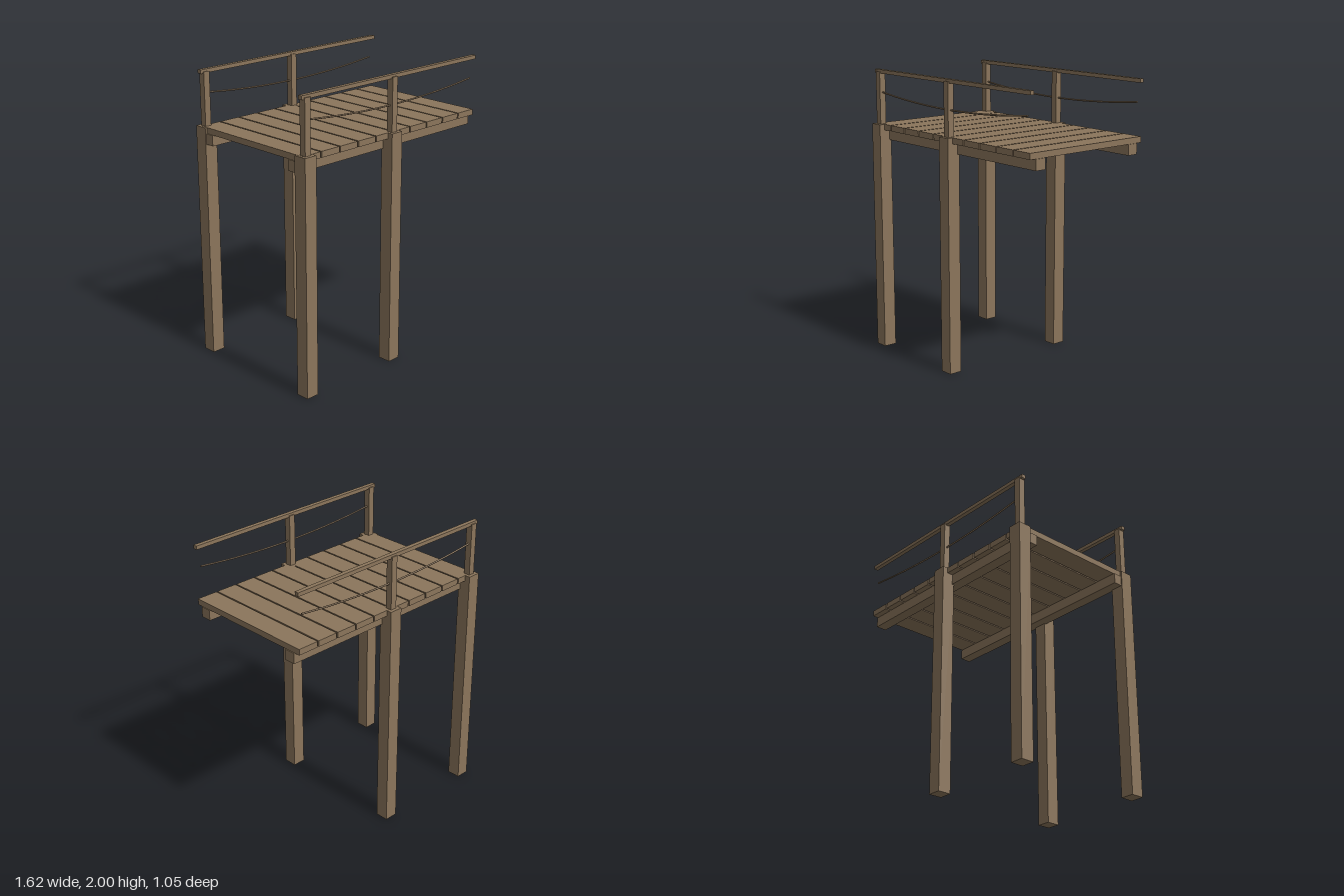
import * as THREE from 'three';

export function createModel() {
  const model = new THREE.Group();
  model.name = 'woodenWalkway';
  const wood = new THREE.MeshStandardMaterial({ color: 0x8b755b });
  wood.name = 'weathered wood';

  // Box given by its minimum and maximum corners
  function box(name, [x0, y0, z0], [x1, y1, z1], parent) {
    const mesh = new THREE.Mesh(new THREE.BoxGeometry(x1 - x0, y1 - y0, z1 - z0), wood);
    mesh.position.set((x0 + x1) / 2, (y0 + y1) / 2, (z0 + z1) / 2);
    mesh.name = name;
    parent.add(mesh);
  }

  // Deck planks
  const deck = new THREE.Group();
  deck.name = 'deck';
  model.add(deck);
  const count = 10, pitch = 0.1613, half = 0.0755;
  for (let i = 0; i < count; i++) {
    const x = 0.003 + (i - (count - 1) / 2) * pitch;
    box('plank', [x - half, 1.58, -0.487], [x + half, 1.621, 0.487], deck);
  }

  // Both sides: posts, beam, railing and sagging rope
  for (const s of [1, -1]) {
    const side = new THREE.Group();
    side.name = s > 0 ? 'frontSide' : 'backSide';
    model.add(side);
    const z = 0.478 * s;

    for (const x of [-0.765, 0]) {
      box('supportPost', [x - 0.047, 0, z - 0.047], [x + 0.047, 1.62, z + 0.047], side);
      box('railingPost', [x - 0.023, 1.6, z - 0.023], [x + 0.023, 1.985, z + 0.023], side);
    }
    const beamZ = 0.406 * s;
    box('beam', [-0.805, 1.507, beamZ - 0.039], [0.81, 1.58, beamZ + 0.039], side);
    box('handrail', [-0.807, 1.974, z - 0.015], [0.81, 2, z + 0.015], side);

    const points = [];
    for (let i = 0; i <= 8; i++) {
      const t = i / 4 - 1;
      points.push(new THREE.Vector3(0.772 * t, 1.798 + 0.047 * t * t, z));
    }
    const rope = new THREE.Group();
    rope.name = 'rope';
    const curve = new THREE.CatmullRomCurve3(points);
    const strand = new THREE.Mesh(new THREE.TubeGeometry(curve, 24, 0.006, 8), wood);
    strand.name = 'ropeStrand';
    rope.add(strand);
    // End caps
    for (const e of [-1, 1]) {
      const cap = new THREE.Mesh(new THREE.CircleGeometry(0.006, 8), wood);
      cap.position.set(0.772 * e, 1.845, z);
      cap.rotation.y = e * Math.PI / 2;
      cap.name = 'ropeEnd';
      rope.add(cap);
    }
    side.add(rope);
  }
  return model;
}
